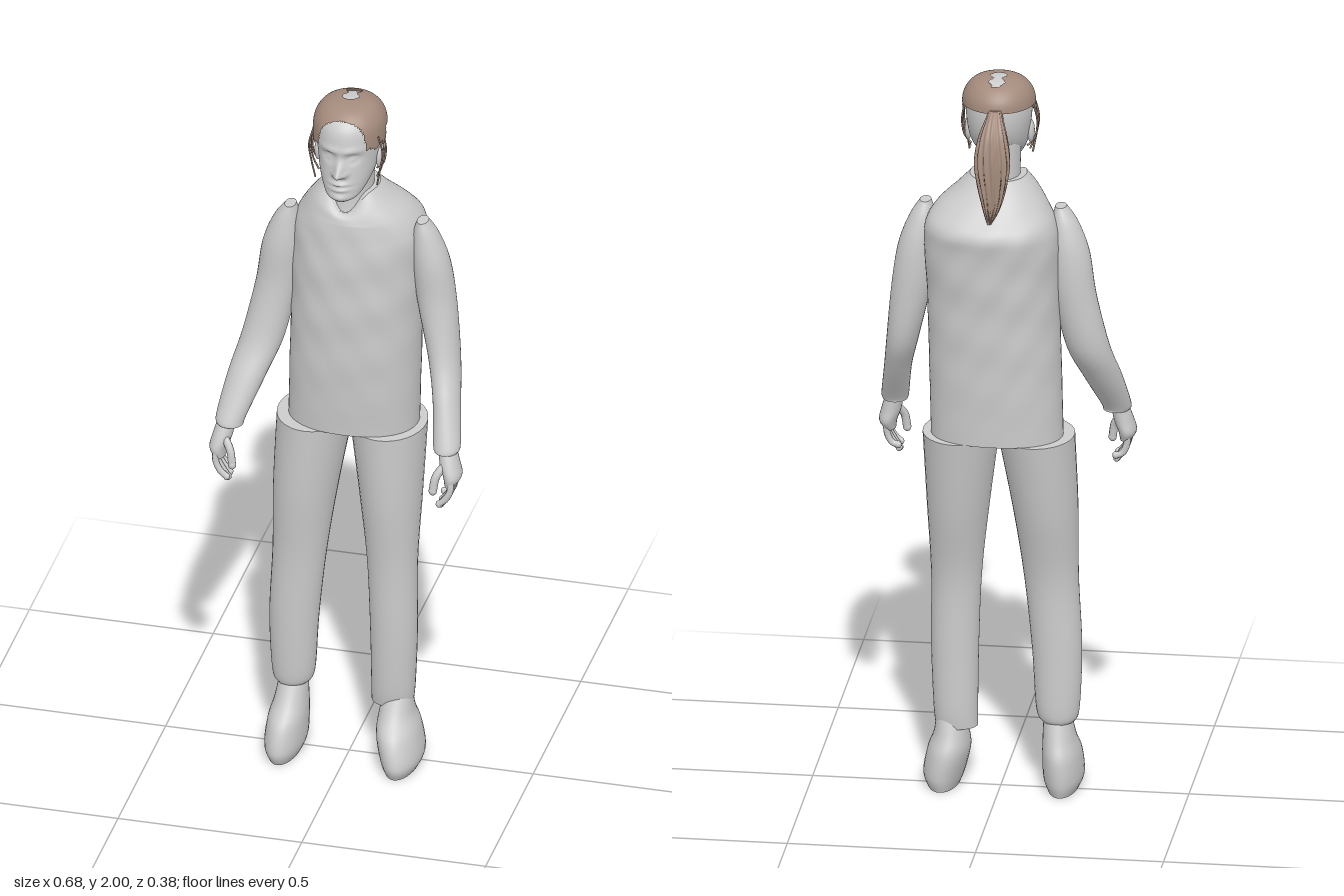
import * as THREE from 'three';

const grey = new THREE.MeshStandardMaterial({ color: 0xcccccc });
grey.name = 'plain grey';
const brown = new THREE.MeshStandardMaterial({ color: 0xa38a7c, side: THREE.DoubleSide });
brown.name = 'hair brown';

// Catmull-Rom blend of one column through the section rows
function blend(rows, i, t, k) {
  const r = (j) => rows[Math.min(rows.length - 1, Math.max(0, j))][k];
  const a = r(i - 1), b = r(i), c = r(i + 1), d = r(i + 2);
  return b + 0.5 * t * (c - a + t * (2 * a - 5 * b + 4 * c - d + t * (3 * (b - c) + d - a)));
}

// Smooth body through horizontal sections [y, xMin, xMax, zFront, zBack], lowest first
function loft(rows, { n = 32, steps = 6, pow = 1, shape, keep, capped = true } = {}) {
  const pos = [], idx = [], count = (rows.length - 1) * steps + 1;
  const curve = (v) => Math.sign(v) * Math.abs(v) ** pow;
  for (let j = 0; j < count; j++) {
    const i = Math.min(Math.floor(j / steps), rows.length - 2), t = j / steps - i;
    const [y, x0, x1, zf, zb] = [0, 1, 2, 3, 4].map((k) => blend(rows, i, t, k));
    for (let s = 0; s < n; s++) {
      const a = (s / n) * Math.PI * 2;
      const p = new THREE.Vector3((x0 + x1) / 2 + ((x1 - x0) / 2) * curve(Math.sin(a)), y,
        (zf + zb) / 2 + ((zf - zb) / 2) * curve(Math.cos(a)));
      if (shape) shape(p, a, j / (count - 1));
      pos.push(p.x, p.y, p.z);
    }
  }
  const visible = (...tri) => !keep || keep(...[0, 1, 2].map((k) => tri.reduce((m, v) => m + pos[v * 3 + k] / 3, 0)));
  const tri = (a, b, c) => { if (visible(a, b, c)) idx.push(a, b, c); };
  for (let j = 0; j < count - 1; j++) for (let s = 0; s < n; s++) {
    const a = j * n + s, b = j * n + (s + 1) % n;
    tri(a, b, b + n);
    tri(a, b + n, a + n);
  }
  // end caps use their own vertices so that the rims stay sharp
  if (capped) for (const ring of [0, count - 1]) {
    const base = pos.length / 3, mid = [0, 0, 0];
    for (let s = 0; s < n; s++) for (let k = 0; k < 3; k++) {
      const v = pos[(ring * n + s) * 3 + k];
      pos.push(v);
      mid[k] += v / n;
    }
    pos.push(...mid);
    for (let s = 0; s < n; s++) {
      const a = base + s, b = base + (s + 1) % n;
      if (ring) tri(a, b, base + n); else tri(b, a, base + n);
    }
  }
  const geo = new THREE.BufferGeometry();
  geo.setAttribute('position', new THREE.Float32BufferAttribute(pos, 3));
  geo.setIndex(idx);
  geo.computeVertexNormals();
  return geo;
}

const bell = (v, mid, width) => Math.exp(-(((v - mid) / width) ** 2));

// Nose, eyes, brow, lips and chin pushed out of the front of the head
function sculptFace(p) {
  if (p.z < 0.05) return;
  const x = p.x - 0.007, y = p.y, ax = Math.abs(x);
  let d = 0.036 * bell(x, 0, 0.012) * bell(y, 1.831, y > 1.831 ? 0.026 : 0.009);
  d += 0.012 * bell(ax, 0.014, 0.008) * bell(y, 1.827, 0.008);
  d -= 0.016 * bell(ax, 0.032, 0.017) * bell(y, 1.871, 0.013);
  d += 0.011 * bell(ax, 0.032, 0.011) * bell(y, 1.869, 0.007);
  d += 0.006 * bell(ax, 0.028, 0.03) * bell(y, 1.893, 0.009);
  d += 0.008 * bell(x, 0, 0.024) * (bell(y, 1.798, 0.006) + bell(y, 1.784, 0.006));
  d -= 0.005 * bell(x, 0, 0.028) * bell(y, 1.791, 0.003);
  d += 0.005 * bell(x, 0, 0.02) * bell(y, 1.76, 0.01);
  p.z += d;
}

const headRows = [
  [1.743, -0.012, 0.026, 0.128, 0.08], [1.755, -0.035, 0.049, 0.138, 0.05], [1.775, -0.051, 0.065, 0.137, 0.0],
  [1.81, -0.066, 0.08, 0.132, -0.05], [1.85, -0.074, 0.089, 0.127, -0.077], [1.9, -0.08, 0.094, 0.126, -0.087],
  [1.945, -0.076, 0.09, 0.116, -0.083], [1.975, -0.058, 0.072, 0.09, -0.06], [1.99, -0.032, 0.046, 0.06, -0.028],
  [1.995, -0.003, 0.013, 0.025, 0.005],
];

export function createModel() {
  const model = new THREE.Group();
  const add = (name, geo, mat = grey) => {
    const mesh = new THREE.Mesh(geo, mat);
    mesh.name = name;
    model.add(mesh);
    return mesh;
  };
  const tube = (name, points, r, mat = grey) =>
    add(name, new THREE.TubeGeometry(new THREE.CatmullRomCurve3(points.map((p) => new THREE.Vector3(...p))), 12, r, 8), mat);
  const ball = (name, x, y, z, rx, ry, rz) => {
    const mesh = add(name, new THREE.SphereGeometry(1, 16, 12));
    mesh.position.set(x, y, z);
    mesh.scale.set(rx, ry, rz);
  };

  // Shirt with soft creases and a notched collar
  add('shirt', loft([
    [1.01, -0.17, 0.18, 0.09, -0.155], [1.2, -0.165, 0.185, 0.105, -0.165], [1.4, -0.16, 0.19, 0.11, -0.175],
    [1.55, -0.16, 0.197, 0.105, -0.188], [1.61, -0.152, 0.192, 0.1, -0.19], [1.655, -0.13, 0.165, 0.093, -0.155],
    [1.7, -0.1, 0.115, 0.086, -0.115], [1.735, -0.07, 0.08, 0.07, -0.085],
  ], {
    n: 64, steps: 10, pow: 0.92,
    shape(p, a, t) {
      const fade = Math.sin(Math.PI * Math.min(1, t * 1.2));
      p.z += 0.003 * fade * Math.sin(p.y * 42 + p.x * 25) * Math.sin(p.x * 38 + 1);
      if (t > 0.7) p.y -= 0.06 * ((t - 0.7) / 0.3) * Math.max(0, Math.cos(a)) ** 6;
    },
  }));

  // Neck, head and ears
  add('neck', loft([[1.64, -0.065, 0.075, 0.075, -0.08], [1.72, -0.053, 0.065, 0.063, -0.073], [1.83, -0.055, 0.066, 0.07, -0.07]]));
  add('head', loft(headRows, { n: 96, steps: 8, shape: sculptFace }));
  for (const s of [-1, 1]) ball('ear', 0.007 + s * 0.083, 1.84, 0.03, 0.01, 0.032, 0.019);

  // Hair cap with a parting on the crown
  add('hairCap', loft(headRows.map(([y, x0, x1, f, b]) => [y + 0.005, x0 - 0.011, x1 + 0.011, f + 0.003, b - 0.006]), {
    n: 96, steps: 8,
    keep(x, y, z) {
      const edge = z > 0.02 ? 1.89 + 0.006 * Math.sin(z * 150) : 1.928;
      const parting = y > 1.96 && z > -0.05 && z < 0.025 && Math.abs(x - 0.007) < 0.016 + 0.006 * Math.sin(z * 170);
      return z < 0.102 && y > edge && !parting;
    },
  }), brown);

  // Loose strands beside the face
  for (const s of [-1, 1]) for (let i = 0; i < 3; i++) {
    const x = 0.007, z = 0.065 - i * 0.018;
    tube('hairStrand', [[x + s * 0.088, 1.92, z], [x + s * 0.1, 1.87, z], [x + s * 0.093, 1.82, z],
      [x + s * (0.084 - i * 0.005), 1.77 + i * 0.015, z - 0.005]], 0.0025, brown);
  }

  // Ridged ponytail
  add('ponytail', loft([
    [1.645, 0.004, 0.014, -0.155, -0.168], [1.7, -0.022, 0.03, -0.133, -0.175], [1.8, -0.04, 0.05, -0.107, -0.17],
    [1.87, -0.033, 0.043, -0.095, -0.153], [1.915, -0.02, 0.028, -0.08, -0.125], [1.938, -0.012, 0.018, -0.07, -0.1],
  ], {
    n: 72, steps: 8,
    shape(p, a) {
      const ridge = 0.004 * Math.cos(a * 14 + p.y * 20) * bell(p.y, 1.79, 0.12);
      p.x += ridge * Math.sin(a);
      p.z += ridge * Math.cos(a);
    },
  }), brown);

  // Sleeves
  add('rightArm', loft([
    [1.03, -0.325, -0.255, 0.165, 0.09], [1.05, -0.33, -0.25, 0.16, 0.08], [1.15, -0.313, -0.21, 0.115, 0.01],
    [1.25, -0.287, -0.172, 0.07, -0.042], [1.4, -0.255, -0.142, 0.046, -0.06], [1.52, -0.237, -0.13, 0.045, -0.06],
    [1.6, -0.207, -0.135, 0.036, -0.045], [1.645, -0.175, -0.145, 0.025, -0.025],
  ]));
  add('leftArm', loft([
    [1.03, 0.265, 0.33, 0.165, 0.09], [1.05, 0.26, 0.333, 0.16, 0.08], [1.15, 0.245, 0.318, 0.115, 0.01],
    [1.25, 0.22, 0.305, 0.07, -0.042], [1.4, 0.185, 0.29, 0.046, -0.06], [1.52, 0.172, 0.272, 0.045, -0.06],
    [1.6, 0.173, 0.243, 0.036, -0.045], [1.645, 0.185, 0.215, 0.025, -0.025],
  ]));

  // Hands with four curled fingers and a thumb
  for (const s of [-1, 1]) {
    const side = s < 0 ? 'right' : 'left';
    add(side + 'Palm', loft([
      [0.94, 0.298, 0.328, 0.175, 0.115], [0.965, 0.294, 0.342, 0.182, 0.1], [1.0, 0.282, 0.335, 0.172, 0.1], [1.05, 0.275, 0.32, 0.15, 0.1],
    ].map(([y, a, b, f, k]) => (s > 0 ? [y, a, b, f, k] : [y, -b, -a, f, k])), { n: 24 }));
    for (let i = 0; i < 4; i++) {
      const z = 0.117 + i * 0.018, tip = [0.9, 0.885, 0.88, 0.89][i];
      tube(side + 'Finger', [[s * 0.32, 0.965, z], [s * 0.318, 0.93, z + 0.003], [s * 0.305, 0.905, z + 0.004], [s * 0.289, tip, z + 0.003]], 0.009);
      ball(side + 'Fingertip', s * 0.289, tip, z + 0.003, 0.009, 0.01, 0.009);
    }
    tube(side + 'Thumb', [[s * 0.3, 1.0, 0.155], [s * 0.28, 0.97, 0.172], [s * 0.273, 0.93, 0.178]], 0.011);
    ball(side + 'ThumbTip', s * 0.273, 0.93, 0.178, 0.011, 0.013, 0.011);
  }

  // Trouser legs
  add('rightLeg', loft([
    [0.195, -0.197, -0.112, 0.04, -0.052], [0.23, -0.21, -0.095, 0.05, -0.06], [0.4, -0.216, -0.083, 0.06, -0.06],
    [0.6, -0.207, -0.062, 0.067, -0.066], [0.8, -0.207, -0.034, 0.086, -0.11], [1.01, -0.2, 0.003, 0.095, -0.15],
  ]));
  add('leftLeg', loft([
    [0.17, 0.06, 0.172, 0.04, -0.055], [0.23, 0.06, 0.178, 0.05, -0.06], [0.4, 0.058, 0.185, 0.06, -0.06],
    [0.6, 0.05, 0.185, 0.067, -0.066], [0.8, 0.028, 0.194, 0.086, -0.11], [1.01, 0, 0.203, 0.095, -0.15],
  ]));

  // Feet
  add('rightFoot', loft([
    [0, -0.205, -0.125, 0.125, -0.08], [0.035, -0.218, -0.112, 0.137, -0.09], [0.1, -0.213, -0.11, 0.117, -0.09],
    [0.15, -0.2, -0.112, 0.072, -0.07], [0.21, -0.19, -0.115, 0.035, -0.048],
  ]));
  add('leftFoot', loft([
    [0, 0.11, 0.195, 0.125, -0.08], [0.035, 0.097, 0.207, 0.137, -0.09], [0.1, 0.082, 0.195, 0.117, -0.09],
    [0.15, 0.085, 0.177, 0.072, -0.07], [0.21, 0.095, 0.17, 0.035, -0.048],
  ]));
  return model;
}
